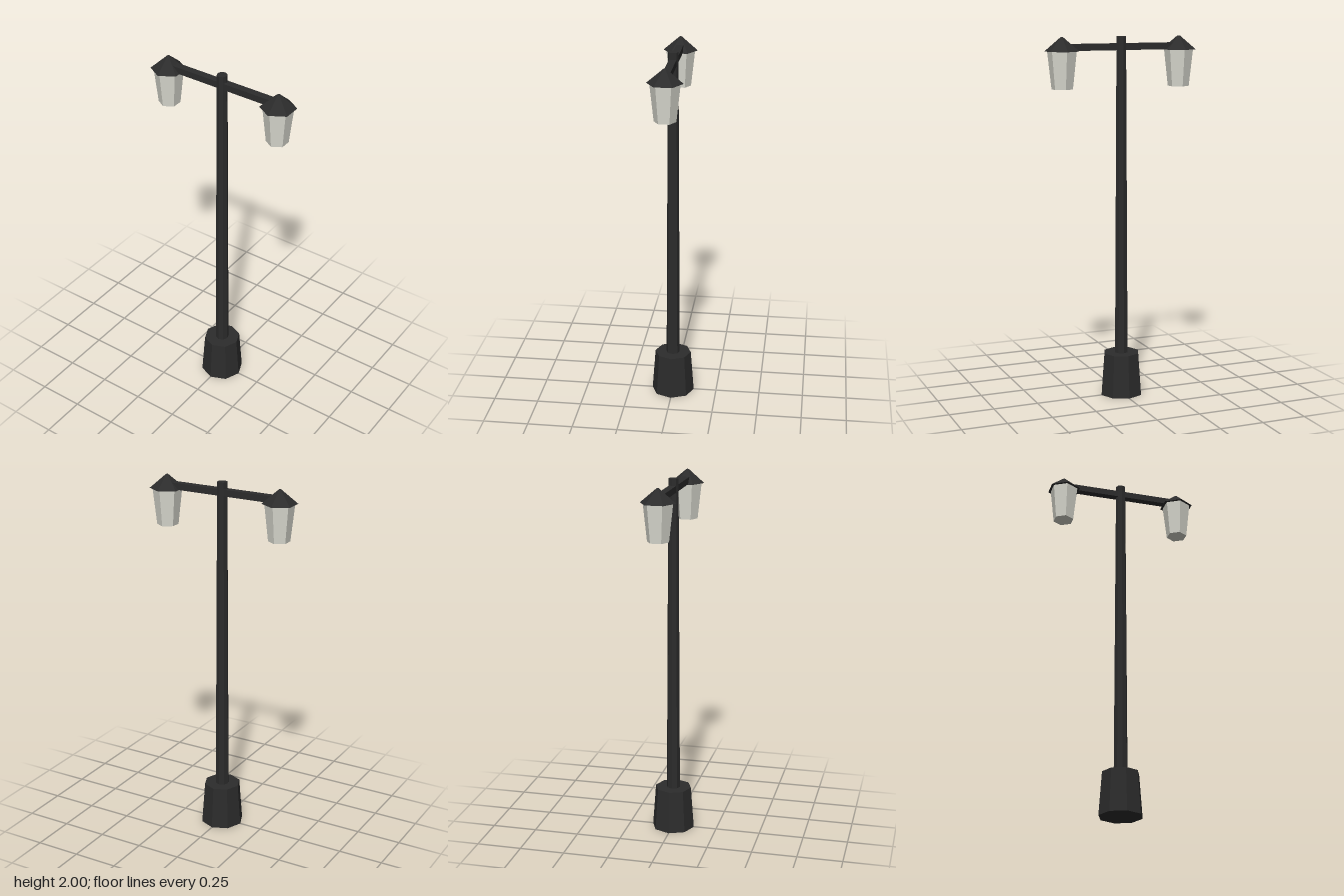
import * as THREE from 'three';

const metal = new THREE.MeshStandardMaterial({ color: 0x2c2c2c, flatShading: true });
metal.name = 'dark metal';
const glass = new THREE.MeshStandardMaterial({ color: 0xdadad0, flatShading: true });
glass.name = 'pale glass';

// Tapered prism standing between two heights
function taper(name, rTop, rBottom, y0, y1, sides, material) {
  const geometry = new THREE.CylinderGeometry(rTop, rBottom, y1 - y0, sides);
  const mesh = new THREE.Mesh(geometry, material);
  mesh.position.y = (y0 + y1) / 2;
  mesh.name = name;
  return mesh;
}

// Hexagonal lantern with a pointed roof
function makeLantern(name, x) {
  const lantern = new THREE.Group();
  lantern.name = name;
  lantern.position.x = x;
  lantern.add(
    taper('lanternGlass', 0.08, 0.058, 1.725, 1.925, 6, glass),
    taper('lanternRoof', 0.007, 0.095, 1.925, 2, 6, metal)
  );
  return lantern;
}

export function createModel() {
  const model = new THREE.Group();
  model.name = 'streetLamp';

  // Octagonal foot and slender pole
  model.add(
    taper('base', 0.102, 0.12, 0, 0.24, 8, metal),
    taper('pole', 0.028, 0.038, 0.24, 2, 8, metal)
  );

  // Crossbar reaching into both lantern roofs
  const crossbar = new THREE.Mesh(new THREE.BoxGeometry(0.64, 0.036, 0.04), metal);
  crossbar.position.y = 1.945;
  crossbar.name = 'crossbar';
  model.add(crossbar);

  model.add(makeLantern('leftLantern', 0.34), makeLantern('rightLantern', -0.34));
  return model;
}
